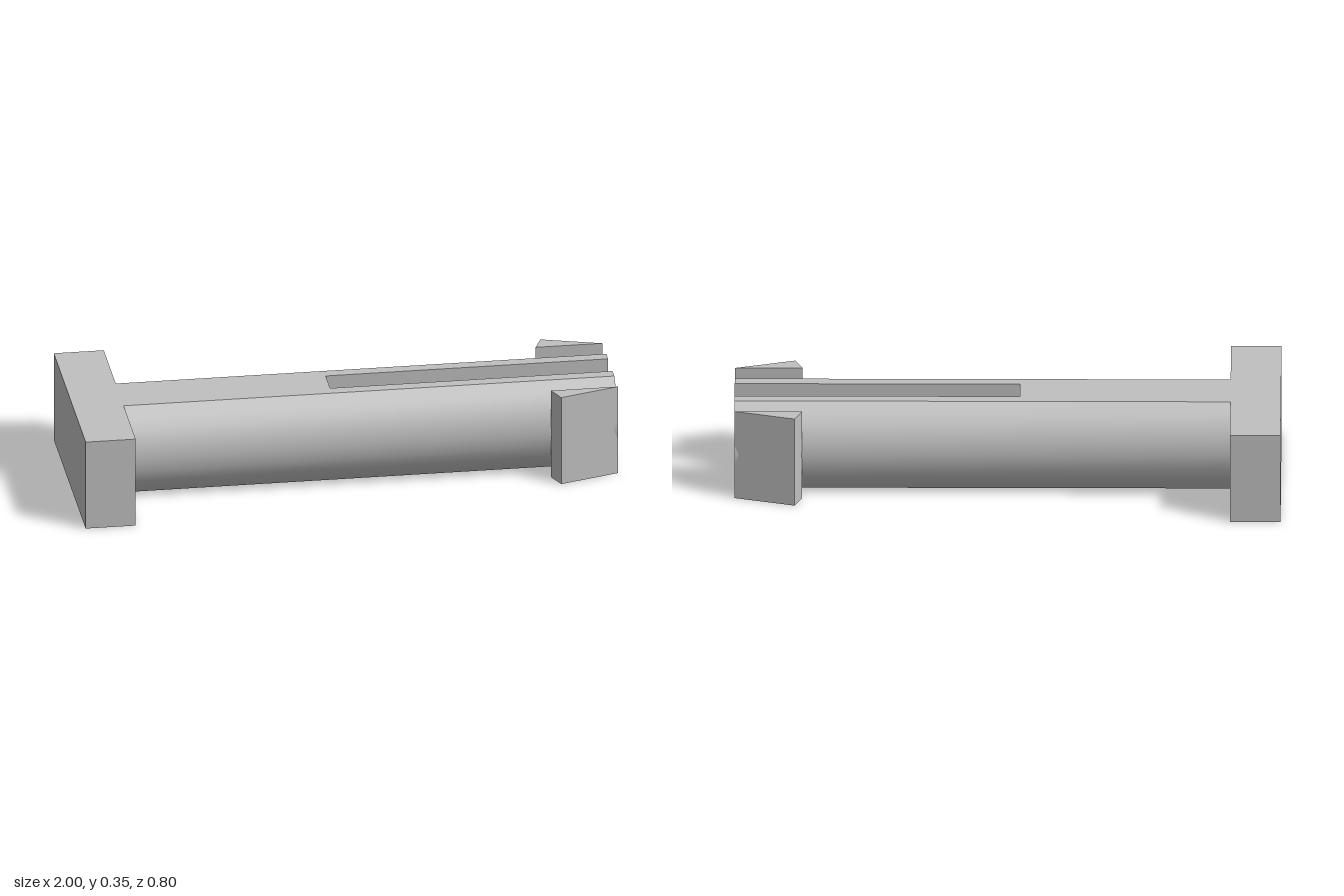
import * as THREE from 'three';
import { toCreasedNormals } from 'three/addons/utils/BufferGeometryUtils.js';

const H = 0.347;        // overall height
const R = 0.2;          // shaft radius
const SLOT = 0.055;     // half width of the slot
const X0 = -0.815;      // shaft start, at the head
const X1 = 1;           // shaft tip
const SLOT_X = -0.045;  // closed end of the slot

export function createModel() {
  const group = new THREE.Group();
  const grey = new THREE.MeshStandardMaterial({ color: 0xc0c0c0 });
  grey.name = 'light grey plastic';

  const add = (name, geometry) => {
    const mesh = new THREE.Mesh(geometry, grey);
    mesh.name = name;
    group.add(mesh);
  };
  const block = (name, xa, xb, halfZ) => {
    const g = new THREE.BoxGeometry(xb - xa, H, halfZ * 2);
    add(name, g.translate((xa + xb) / 2, H / 2, 0));
  };

  // Cross bar head and the solid core behind the slot
  block('head', -1, X0, 0.4);
  block('core', X0, SLOT_X, SLOT);

  for (const side of [1, -1]) {
    const label = side > 0 ? 'front' : 'back';

    // Prong: round outer side, flat top, bottom and slot wall
    const section = [new THREE.Vector2(-side * SLOT, 0)];
    for (let i = 0; i <= 8; i++) {
      const a = THREE.MathUtils.degToRad(-60 + i * 15);
      section.push(new THREE.Vector2(-side * R * Math.cos(a), H / 2 + (H / 2) * Math.sin(a) / Math.sin(Math.PI / 3)));
    }
    section.push(new THREE.Vector2(-side * SLOT, H));
    const prong = new THREE.ExtrudeGeometry(new THREE.Shape(section), { depth: X1 - X0, bevelEnabled: false });
    prong.rotateY(Math.PI / 2).translate(X0, 0, 0);
    add(label + 'Prong', toCreasedNormals(prong, 0.5));

    // Snap barb: full-height wedge on the outside of the tip
    const wedge = [[0.752, 0.195], [0.78, 0.262], [1, 0.195]]
      .map(([x, z]) => new THREE.Vector2(x, -side * z));
    const barb = new THREE.ExtrudeGeometry(new THREE.Shape(wedge), { depth: H, bevelEnabled: false });
    add(label + 'Barb', barb.rotateX(-Math.PI / 2));
  }
  return group;
}
